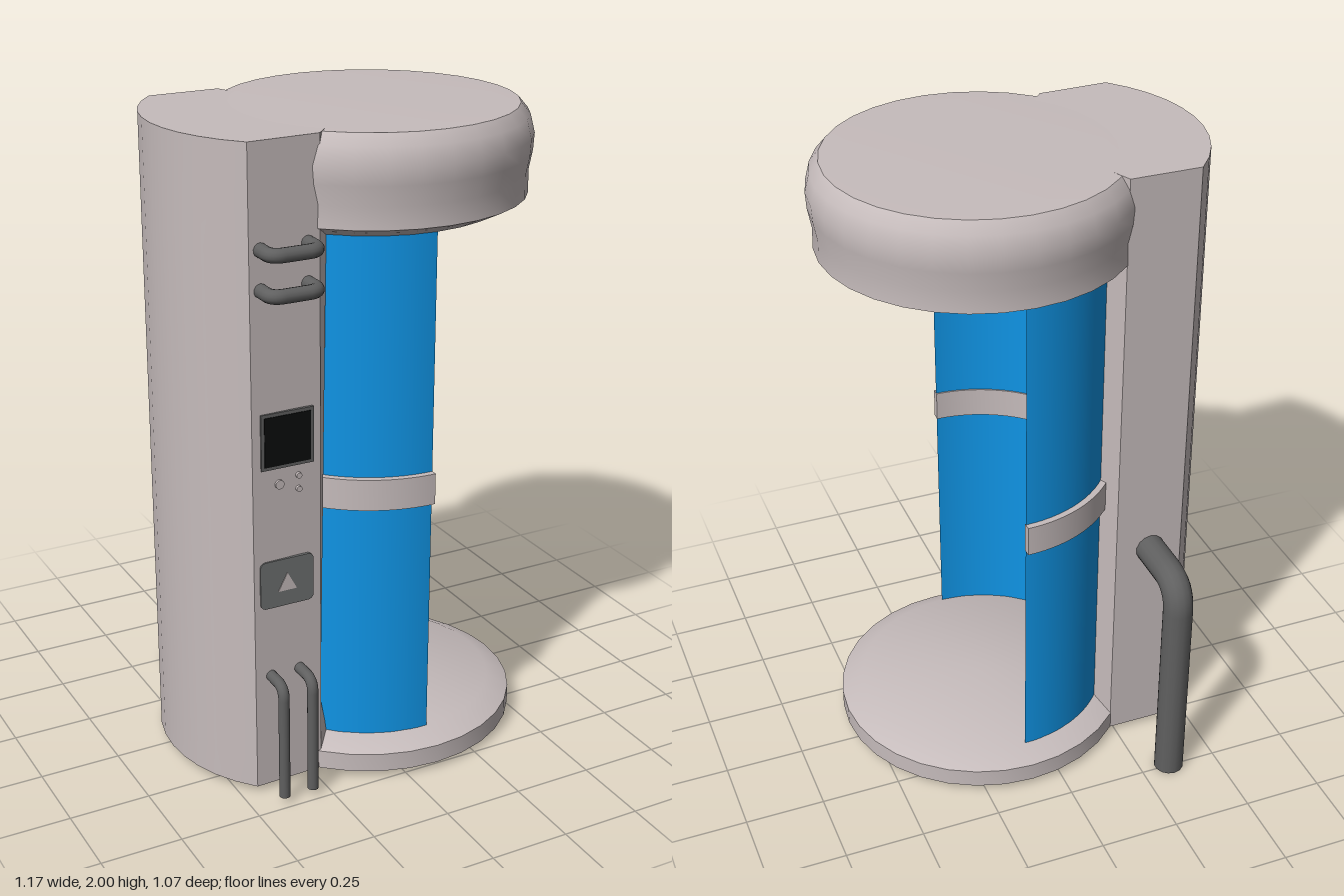
import * as THREE from 'three';
import { toCreasedNormals } from 'three/addons/utils/BufferGeometryUtils.js';

const CX = 0.1, CZ = 0.053; // axis of the round cabin
const V = (x, y, z) => new THREE.Vector3(x, y, z);

function material(name, color, side = THREE.FrontSide) {
  const m = new THREE.MeshStandardMaterial({ color, side });
  m.name = name;
  return m;
}

// Cross-section of the column at one height; innerX is its front inner corner
function columnSection(y, innerX) {
  const pts = [V(-0.23, y, 0.378), V(innerX, y, 0.328), V(-0.2, y, -0.21), V(-0.23, y, -0.28)];
  const steps = 10, half = 0.772, r = 0.477;
  for (let i = 0; i <= steps; i++) {
    const a = -half + (2 * half * i) / steps;
    pts.push(V(-0.108 - r * Math.cos(a), y, 0.0525 + r * Math.sin(a)));
  }
  return pts;
}

function columnGeometry() {
  const rows = [[0.02, -0.185], [0.115, -0.185], [0.35, -0.228], [1.7, -0.185], [1.999, -0.185]]
    .map(([y, x]) => columnSection(y, x));
  const n = rows[0].length, pos = [];
  const tri = (...p) => p.forEach((v) => pos.push(v.x, v.y, v.z));
  for (let r = 0; r < rows.length - 1; r++) {
    for (let i = 0; i < n; i++) {
      const j = (i + 1) % n, lo = rows[r], hi = rows[r + 1];
      tri(lo[i], lo[j], hi[j]);
      tri(lo[i], hi[j], hi[i]);
    }
  }
  const bottom = rows[0], top = rows[rows.length - 1];
  for (let i = 1; i < n - 1; i++) {
    tri(top[0], top[i], top[i + 1]);
    tri(bottom[0], bottom[i + 1], bottom[i]);
  }
  const g = new THREE.BufferGeometry();
  g.setAttribute('position', new THREE.Float32BufferAttribute(pos, 3));
  g.computeVertexNormals();
  return toCreasedNormals(g, 0.35);
}

function lathe(profile) {
  const g = new THREE.LatheGeometry(profile.map(([r, y]) => new THREE.Vector2(r, y)), 32);
  return toCreasedNormals(g, 0.5).translate(CX, 0, CZ);
}

// Round pipe through points, with rounded corners
function pipeGeometry(points, radius, bend) {
  const path = new THREE.CurvePath();
  let from = points[0];
  for (let i = 1; i < points.length - 1; i++) {
    const p = points[i];
    const a = p.clone().add(points[i - 1].clone().sub(p).setLength(bend));
    const b = p.clone().add(points[i + 1].clone().sub(p).setLength(bend));
    path.add(new THREE.LineCurve3(from, a));
    path.add(new THREE.QuadraticBezierCurve3(a, p, b));
    from = b;
  }
  path.add(new THREE.LineCurve3(from, points[points.length - 1]));
  return new THREE.TubeGeometry(path, 48, radius, 14, false);
}

// Flat rounded plate on the front of the column
function plateGeometry(w, h, r, depth) {
  const s = new THREE.Shape(), x = w / 2, y = h / 2;
  s.absarc(x - r, y - r, r, 0, Math.PI / 2);
  s.absarc(-x + r, y - r, r, Math.PI / 2, Math.PI);
  s.absarc(-x + r, -y + r, r, Math.PI, Math.PI * 1.5);
  s.absarc(x - r, -y + r, r, Math.PI * 1.5, Math.PI * 2);
  return new THREE.ExtrudeGeometry(s, { depth, bevelEnabled: false, curveSegments: 5 });
}

// Curved strip around the cabin, start and end in plan angles
function bandGeometry(start, end) {
  const s = new THREE.Shape();
  s.absarc(0, 0, 0.42, start, end, false);
  s.absarc(0, 0, 0.395, end, start, true);
  const g = new THREE.ExtrudeGeometry(s, { depth: 0.097, bevelEnabled: false, curveSegments: 14 });
  return toCreasedNormals(g.rotateX(-Math.PI / 2), 0.5).translate(CX, 0.877, CZ);
}

export function createModel() {
  const model = new THREE.Group();
  model.name = 'standingCabin';
  const shell = material('warm grey shell', 0xc6bcbc);
  const blue = material('blue panel', 0x1095e6, THREE.DoubleSide);
  const dark = material('dark grey pipe', 0x606060);
  const plate = material('mid grey plate', 0x6e7070);
  const black = material('black screen', 0x0a0c0c);
  const add = (name, geometry, mat, x = 0, y = 0, z = 0) => {
    const mesh = new THREE.Mesh(geometry, mat);
    mesh.name = name;
    mesh.position.set(x, y, z);
    model.add(mesh);
    return mesh;
  };

  // Main body
  add('column', columnGeometry(), shell);
  add('base', lathe([[0, 0.021], [0.47, 0.021], [0.47, 0.08], [0.4, 0.115], [0, 0.117]]), shell);
  add('canopy', lathe([[0, 1.7], [0.4, 1.7], [0.47, 1.735], [0.468, 1.8], [0.479, 1.86],
    [0.482, 1.91], [0.468, 1.965], [0.44, 1.998], [0.38, 2], [0, 2]]), shell);

  // Curved side panels with their bands
  const sides = [['front', -1, -Math.PI / 2 - 0.93, -Math.PI / 2], ['back', Math.PI, Math.PI / 2, Math.PI / 2 + 0.93]];
  for (const [name, theta, a, b] of sides) {
    add(name + 'Panel', new THREE.CylinderGeometry(0.4, 0.4, 1.6, 14, 1, true, theta, 1), blue, CX, 0.91, CZ);
    add(name + 'Band', bandGeometry(a, b), shell);
  }

  // Horizontal grab handles
  for (const y of [1.7, 1.585]) {
    add('grabHandle', pipeGeometry([V(-0.415, y, 0.37), V(-0.415, y, 0.456),
      V(-0.268, y, 0.456), V(-0.268, y, 0.37)], 0.021, 0.035), dark);
  }

  // Slim front pipes and the large rear pipe, with closed lower ends
  const drop = (name, x, y, z0, z1, foot, r, bend) => {
    add(name, pipeGeometry([V(x, y, z0), V(x, y, z1), V(x, foot, z1)], r, bend), dark);
    add(name + 'End', new THREE.CircleGeometry(r, 14).rotateX(Math.PI / 2), dark, x, foot, z1);
  };
  for (const x of [-0.398, -0.303]) drop('frontPipe', x, 0.39, 0.37, 0.466, 0.02, 0.017, 0.04);
  drop('rearPipe', -0.345, 0.725, -0.26, -0.492, 0, 0.047, 0.09);

  // Screen, buttons and lower plate
  add('screenFrame', new THREE.BoxGeometry(0.166, 0.17, 0.009), dark, -0.34, 1.138, 0.385);
  add('screen', new THREE.BoxGeometry(0.146, 0.15, 0.006), black, -0.34, 1.138, 0.389);
  for (const [x, y, r] of [[-0.365, 1.002, 0.014], [-0.303, 1.018, 0.009], [-0.303, 0.976, 0.009]]) {
    add('button', new THREE.CylinderGeometry(r, r, 0.009, 12).rotateX(Math.PI / 2), shell, x, y, 0.385);
  }
  add('lowerPlate', plateGeometry(0.172, 0.15, 0.018, 0.009), plate, -0.345, 0.69, 0.38);
  const mark = new THREE.Shape([[-0.03, -0.026], [0.03, -0.026], [0, 0.03]].map((p) => new THREE.Vector2(...p)));
  add('triangleMark', new THREE.ExtrudeGeometry(mark, { depth: 0.004, bevelEnabled: false }), shell, -0.345, 0.69, 0.387);

  return model;
}
